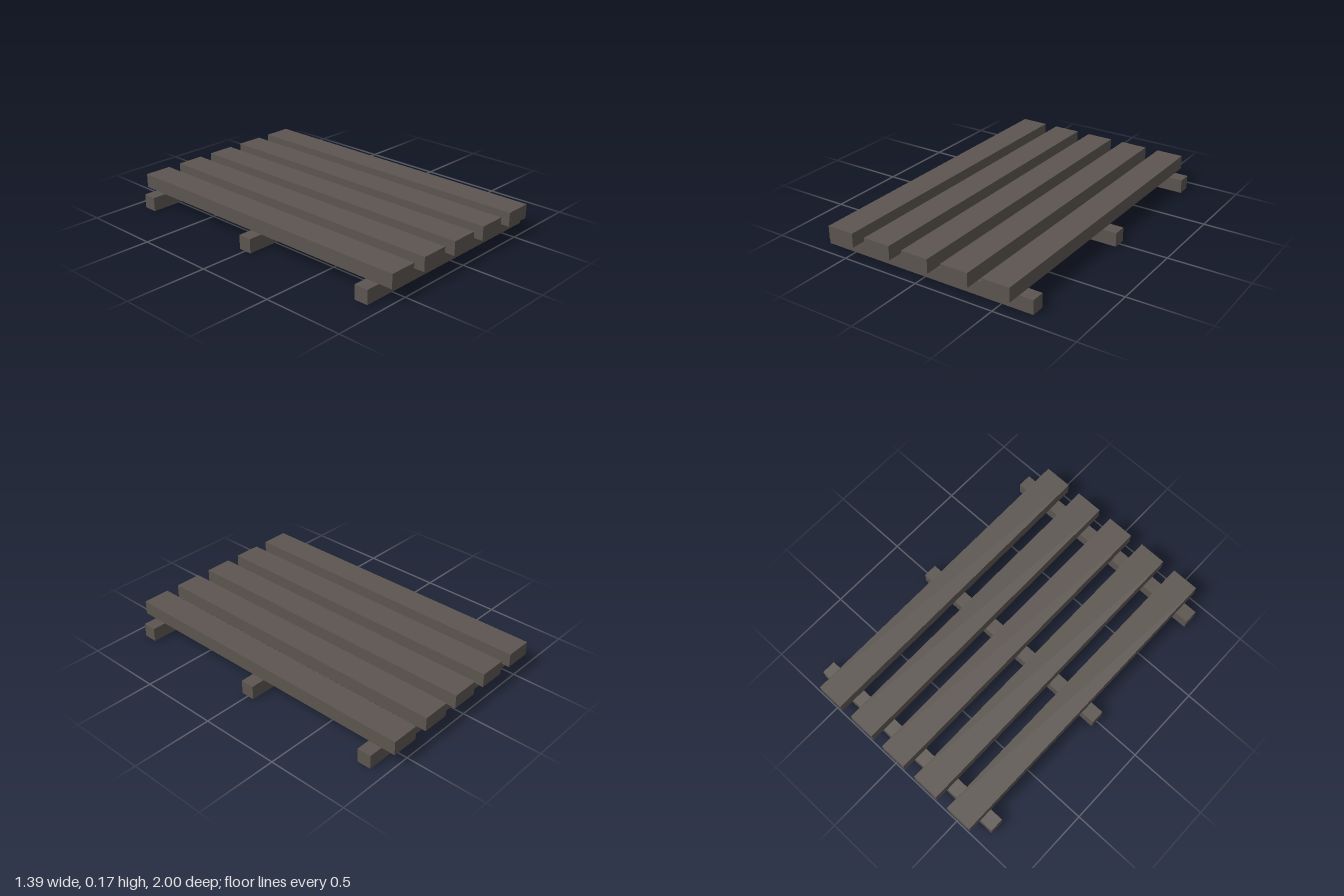
import * as THREE from 'three';

const U = 2 / 23; // timber thickness; every size is a multiple of it

export function createModel() {
  const group = new THREE.Group();
  const wood = new THREE.MeshStandardMaterial({ color: 0x5c5550 });
  wood.name = 'weathered wood';

  const addBeam = (name, w, h, d, x, y, z) => {
    const mesh = new THREE.Mesh(new THREE.BoxGeometry(w * U, h * U, d * U), wood);
    mesh.name = name;
    mesh.position.set(x * U, y * U, z * U);
    group.add(mesh);
  };

  // three crossbeams resting on the ground
  ['back', 'middle', 'front'].forEach((place, i) => {
    addBeam(`${place}Crossbeam`, 16, 1, 1, 0, 0.5, (i - 1) * 10);
  });

  // five long slats laid across them
  for (let i = 0; i < 5; i++) {
    addBeam(`slat${i + 1}`, 2, 1, 23, (i - 2) * 3, 1.5, 0);
  }

  return group;
}
